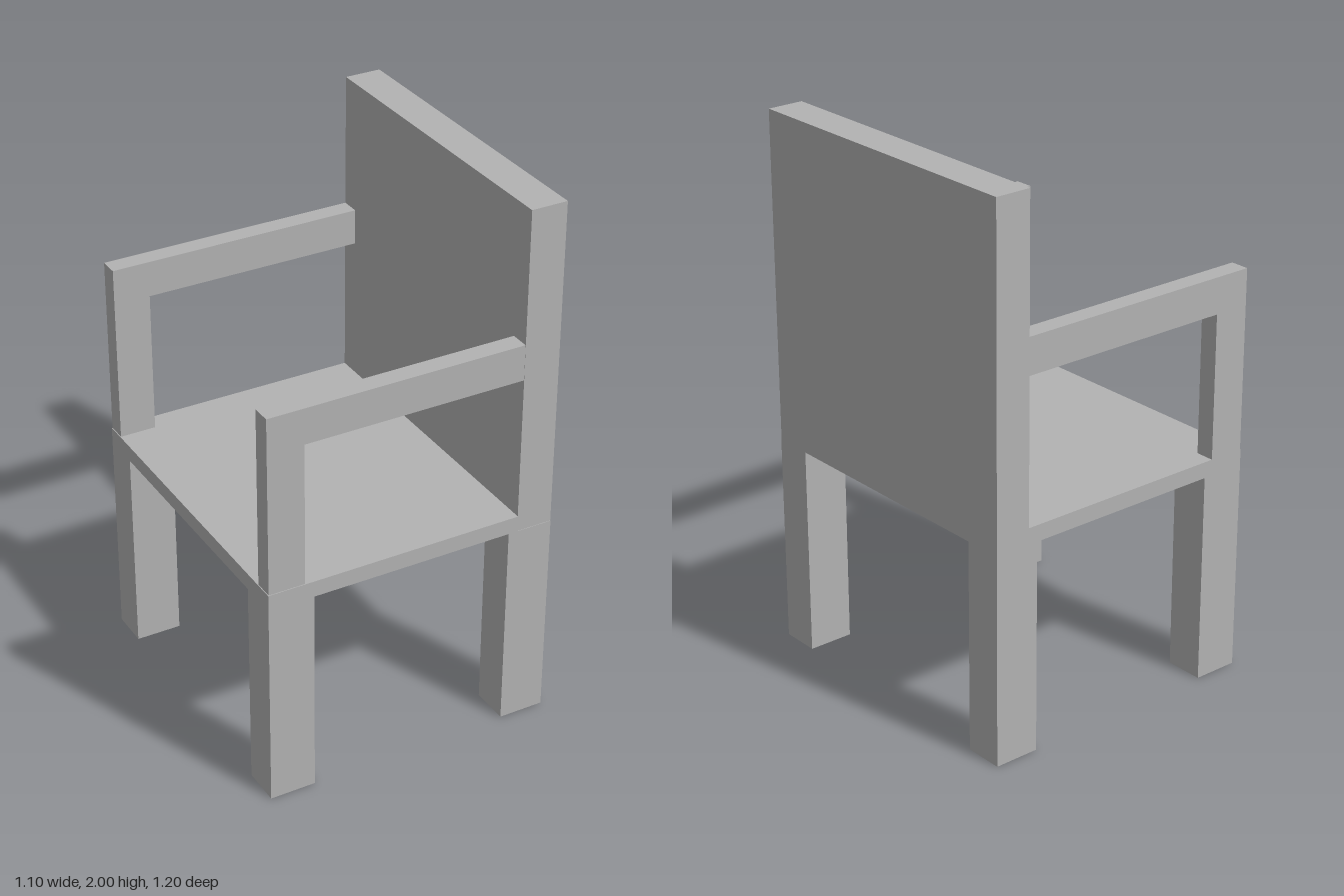
import * as THREE from 'three';

export function createModel() {
  const chair = new THREE.Group();
  chair.name = 'armchair';
  const grey = new THREE.MeshStandardMaterial({ color: 0xb2b2b2 });
  grey.name = 'plain grey';

  // box given by its lower and upper limits on each axis
  function block(name, [x0, x1], [y0, y1], [z0, z1]) {
    const mesh = new THREE.Mesh(new THREE.BoxGeometry(x1 - x0, y1 - y0, z1 - z0), grey);
    mesh.position.set((x0 + x1) / 2, (y0 + y1) / 2, (z0 + z1) / 2);
    mesh.name = name;
    chair.add(mesh);
  }

  // seat slab and tall backrest, the chair opens towards -x
  block('seat', [-0.548, 0.412], [0.783, 0.843], [-0.6, 0.595]);
  block('backrest', [0.412, 0.547], [0.783, 2], [-0.6, 0.593]);

  // four square legs
  for (const [side, z] of [['left', [0.45, 0.595]], ['right', [-0.6, -0.455]]]) {
    block(side + 'FrontLeg', [-0.548, -0.378], [0, 0.783], z);
    block(side + 'BackLeg', [0.377, 0.547], [0, 0.783], z);
  }

  // armrests: post and rail as one thin L-shaped plate
  const profile = [[-0.545, 0.843], [-0.41, 0.843], [-0.41, 1.377], [0.412, 1.377], [0.412, 1.51], [-0.545, 1.51]];
  const shape = new THREE.Shape(profile.map(([x, y]) => new THREE.Vector2(x, y)));
  const armGeometry = new THREE.ExtrudeGeometry(shape, { depth: 0.071, bevelEnabled: false });
  for (const [side, z] of [['left', 0.521], ['right', -0.6]]) {
    const arm = new THREE.Mesh(armGeometry, grey);
    arm.position.z = z;
    arm.name = side + 'Armrest';
    chair.add(arm);
  }

  return chair;
}
